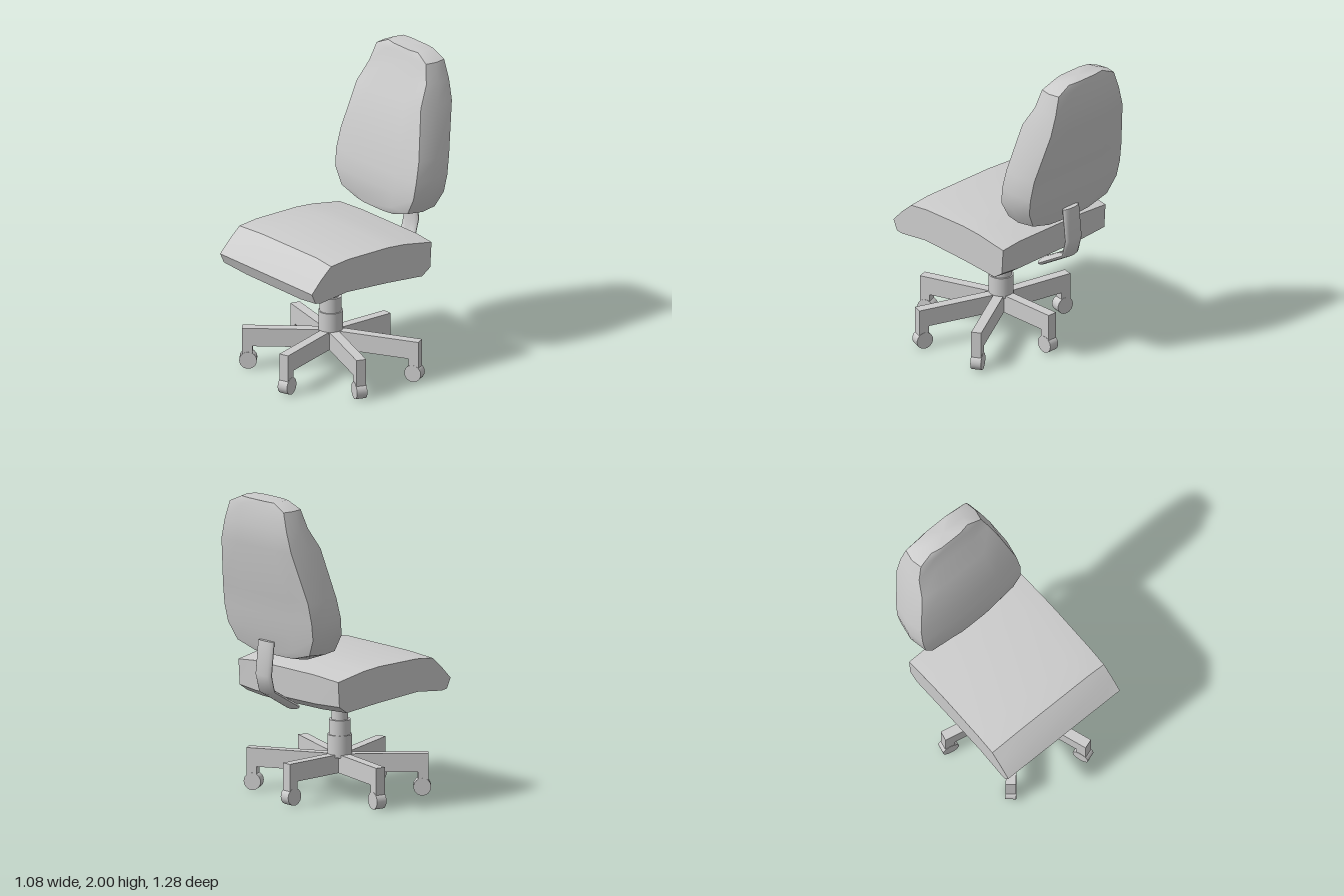
import * as THREE from 'three';
import { toCreasedNormals } from 'three/addons/utils/BufferGeometryUtils.js';

const grey = new THREE.MeshStandardMaterial({ color: 0xcccccc });
grey.name = 'lightGrey';

// Capped skin over closed rings of [x, y, z] points, wound outwards by its signed volume
function loft(rings, crease) {
  const n = rings[0].length;
  const points = rings.flat();
  const faces = [];
  for (let r = 0; r < rings.length - 1; r++) {
    for (let i = 0; i < n; i++) {
      const a = r * n + i, b = r * n + (i + 1) % n;
      faces.push([a, b, b + n], [a, b + n, a + n]);
    }
  }
  for (const end of [0, rings.length - 1]) {
    const centre = [0, 1, 2].map((k) => rings[end].reduce((s, p) => s + p[k], 0) / n);
    const c = points.push(centre) - 1;
    for (let i = 0; i < n; i++) {
      const a = end * n + i, b = end * n + (i + 1) % n;
      faces.push(end === 0 ? [c, b, a] : [c, a, b]);
    }
  }
  const v = points.map((p) => new THREE.Vector3(...p));
  const volume = faces.reduce((s, [a, b, c]) => s + v[a].dot(v[b].clone().cross(v[c])), 0);
  if (volume < 0) faces.forEach((f) => f.reverse());
  const geometry = new THREE.BufferGeometry();
  geometry.setAttribute('position', new THREE.Float32BufferAttribute(points.flat(), 3));
  geometry.setIndex(faces.flat());
  return toCreasedNormals(geometry, crease);
}

function add(parent, name, geometry, x = 0, y = 0, z = 0) {
  const mesh = new THREE.Mesh(geometry, grey);
  mesh.name = name;
  mesh.position.set(x, y, z);
  parent.add(mesh);
  return mesh;
}

// Seat cushion: a side profile swept across x, slightly crowned
function seatGeometry() {
  const profile = [ // z, y
    [0.61, 0.745], [0.535, 0.84], [0.456, 0.91], [0.32, 0.925], [0, 0.925], [-0.13, 0.914],
    [-0.345, 0.877], [-0.335, 0.685], [-0.27, 0.64], [0, 0.663], [0.33, 0.682], [0.535, 0.658], [0.58, 0.665],
  ];
  const stations = [[-0.5, 0.016], [-0.28, 0.003], [0.26, 0], [0.405, 0.014]]; // x, inset
  return loft(stations.map(([x, inset]) => profile.map(([z, y]) => {
    const d = y > 0.8 ? -inset : y < 0.7 ? inset : 0;
    return [x, y + d, z];
  })), 0.6);
}

// Backrest: horizontal sections, widest half way through the depth
function backGeometry() {
  const rows = [ // y, half width, front z, back z, drop of the middle
    [0.985, 0.185, -0.25, -0.475, 0.018],
    [1.03, 0.345, -0.247, -0.485, 0.005],
    [1.14, 0.408, -0.245, -0.51, 0],
    [1.25, 0.418, -0.26, -0.53, 0],
    [1.38, 0.408, -0.288, -0.552, 0],
    [1.7, 0.335, -0.36, -0.63, 0],
    [1.83, 0.297, -0.433, -0.636, 0],
    [1.95, 0.258, -0.46, -0.627, 0],
    [1.995, 0.155, -0.475, -0.62, -0.004],
  ];
  const cx = -0.053;
  return loft(rows.map(([y, w, front, back, drop]) => {
    const e = w * 0.945, m = (front + back) / 2;
    return [
      [cx - e, y, front - 0.014], [cx - w * 0.5, y, front], [cx + w * 0.5, y, front], [cx + e, y, front - 0.014],
      [cx + w, y - drop, m],
      [cx + e, y, back + 0.008], [cx + w * 0.5, y, back], [cx - w * 0.5, y, back], [cx - e, y, back + 0.008],
      [cx - w, y - drop, m],
    ];
  }), 0.62);
}

// Bent flat bar joining seat and backrest
function barGeometry() {
  const path = [[-0.51, 1.075], [-0.533, 0.86], [-0.506, 0.755], [-0.295, 0.63]]; // z, y
  return loft(path.map(([z, y], i) => {
    const a = path[Math.max(i - 1, 0)], b = path[Math.min(i + 1, path.length - 1)];
    const length = Math.hypot(b[0] - a[0], b[1] - a[1]);
    const nz = -(b[1] - a[1]) / length, ny = (b[0] - a[0]) / length;
    return Array.from({ length: 16 }, (_, k) => {
      const t = k * Math.PI / 8, d = 0.023 * Math.sin(t);
      return [-0.025 + 0.07 * Math.cos(t), y + d * ny, z + d * nz];
    });
  }), 0.8);
}

export function createModel() {
  const chair = new THREE.Group();
  chair.name = 'officeChair';
  add(chair, 'seat', seatGeometry());
  add(chair, 'backrest', backGeometry());
  add(chair, 'backrestBar', barGeometry());

  // Telescopic column: radius, bottom, top
  const hub = { x: -0.034, z: 0.105 };
  [[0.052, 0.4, 0.7], [0.068, 0.3, 0.485], [0.077, 0.25, 0.39]].forEach(([r, y0, y1], i) => {
    add(chair, 'column' + (i + 1), new THREE.CylinderGeometry(r, r, y1 - y0, 32), hub.x, (y0 + y1) / 2, hub.z);
  });

  // Six spokes, each with a down-turned end and a caster
  const ends = [[0.51, 0.3], [0.14, 0.62], [-0.4, 0.515], [-0.515, 0.0], [-0.03, -0.345], [0.485, -0.19]];
  ends.forEach(([x, z], i) => {
    const dx = x - hub.x, dz = z - hub.z, length = Math.hypot(dx, dz);
    const spoke = new THREE.Group();
    spoke.name = 'spoke' + (i + 1);
    spoke.position.set(hub.x, 0, hub.z);
    spoke.rotation.y = Math.atan2(-dz, dx);
    const shape = new THREE.Shape([
      [0, 0.15], [length - 0.065, 0.15], [length - 0.065, 0.085], [length, 0.085], [length, 0.268], [0, 0.268],
    ].map((p) => new THREE.Vector2(...p)));
    const arm = new THREE.ExtrudeGeometry(shape, { depth: 0.064, bevelEnabled: false });
    add(spoke, 'arm', arm, 0, 0, -0.032);
    const wheel = new THREE.CylinderGeometry(0.055, 0.055, 0.068, 24).rotateX(Math.PI / 2);
    add(spoke, 'caster', wheel, length - 0.038, 0.055, 0);
    chair.add(spoke);
  });
  return chair;
}
